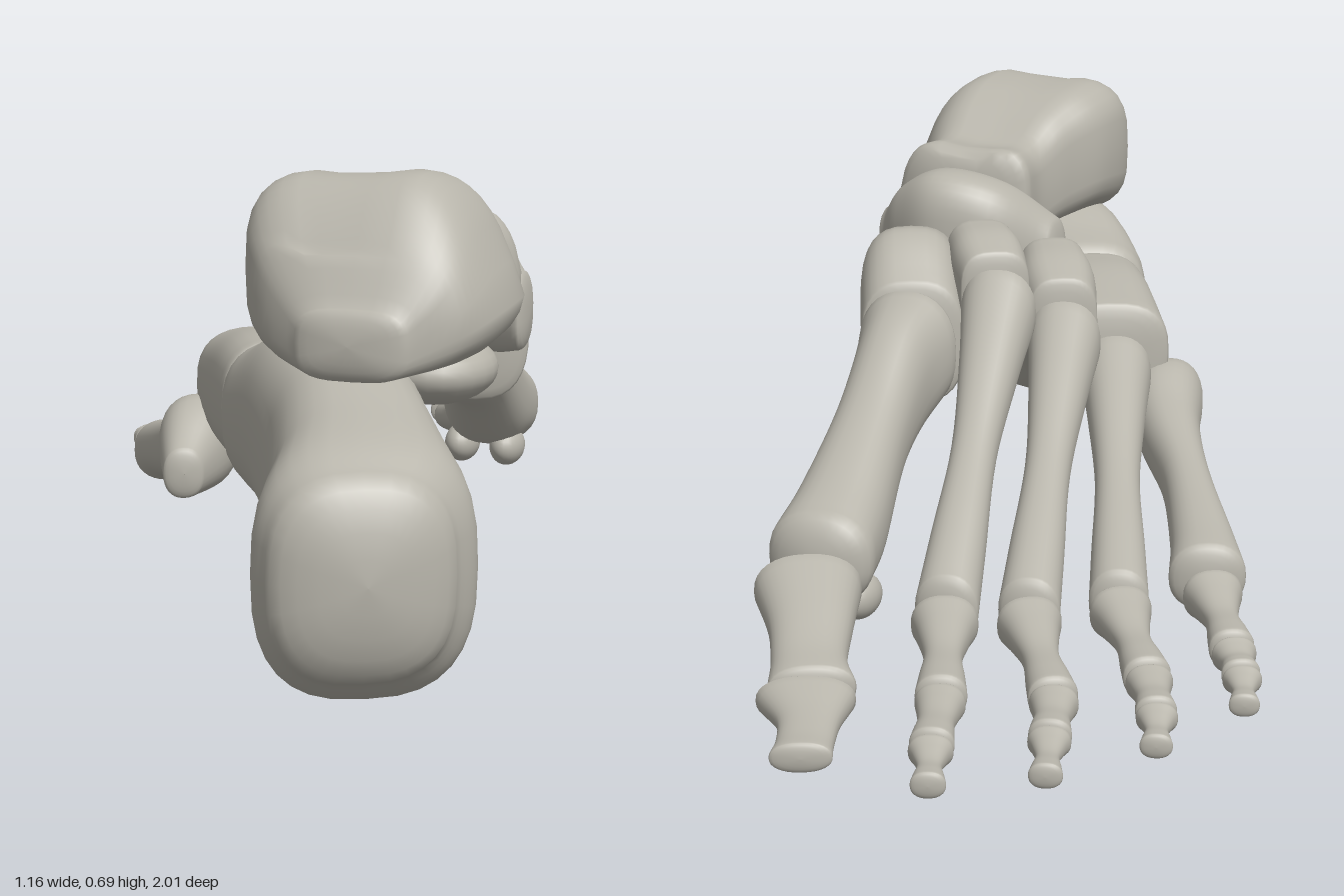
import * as THREE from 'three';

const UP = new THREE.Vector3(0, 1, 0);

// Smooth closed loft: rows of [x, y, z, halfWidth, halfHeight], upright sections, domed ends
function loft(rows, { power = 2.3, cap = 0.35, warp = null } = {}) {
  const SEG = 32, STEPS = (rows.length - 1) * 6, CAP = 6;
  const path = new THREE.CatmullRomCurve3(rows.map(r => new THREE.Vector3(r[0], r[1], r[2])), false, 'catmullrom', 0.5);
  const size = new THREE.CatmullRomCurve3(rows.map(r => new THREE.Vector3(r[3], r[4], 0)), false, 'catmullrom', 0.5);
  const dir = path.getPoint(1).sub(path.getPoint(0)).setY(0).normalize();
  const side = new THREE.Vector3().crossVectors(UP, dir);
  const rings = [];
  const addRing = (t, scale, push) => {
    const s = size.getPoint(t);
    const depth = push * cap * Math.min(s.x, s.y);
    rings.push({ c: path.getPoint(t).addScaledVector(dir, depth), w: s.x * scale, h: s.y * scale });
  };
  for (let i = 0; i < CAP; i++) {
    const a = (i / CAP) * Math.PI / 2;
    addRing(0, Math.max(Math.sin(a), 0.002), -Math.cos(a));
  }
  for (let i = 0; i <= STEPS; i++) addRing(i / STEPS, 1, 0);
  for (let i = CAP - 1; i >= 0; i--) {
    const a = (i / CAP) * Math.PI / 2;
    addRing(1, Math.max(Math.sin(a), 0.002), Math.cos(a));
  }
  const pos = [], index = [];
  const round = v => Math.sign(v) * Math.pow(Math.abs(v), 2 / power);
  rings.forEach(({ c, w, h }, i) => {
    for (let j = 0; j < SEG; j++) {
      const a = (j / SEG) * Math.PI * 2;
      const p = c.clone().addScaledVector(side, round(Math.cos(a)) * w).addScaledVector(UP, round(Math.sin(a)) * h);
      if (warp) warp(p);
      pos.push(p.x, p.y, p.z);
      if (i < rings.length - 1) {
        const k = (j + 1) % SEG, q = i * SEG, r = q + SEG;
        index.push(q + j, q + k, r + j, q + k, r + k, r + j);
      }
    }
  });
  const g = new THREE.BufferGeometry();
  g.setAttribute('position', new THREE.Float32BufferAttribute(pos, 3));
  g.setIndex(index);
  g.computeVertexNormals();
  return g;
}

export function createModel() {
  const model = new THREE.Group();
  model.name = 'footSkeleton';
  const bone = new THREE.MeshStandardMaterial({ color: 0xb8b5ab });
  bone.name = 'bone';

  const add = (name, geometry) => {
    const m = new THREE.Mesh(geometry, bone);
    m.name = name;
    model.add(m);
    return m;
  };
  const knob = (name, x, y, z, rx, ry, rz, turn = 0) => {
    const m = add(name, new THREE.SphereGeometry(1, 24, 16));
    m.position.set(x, y, z);
    m.scale.set(rx, ry, rz);
    m.rotation.y = turn;
  };

  // Heel bone
  add('heelBone', loft([
    [0.46, 0.21, 0.92, 0.125, 0.14], [0.44, 0.205, 0.86, 0.15, 0.175], [0.395, 0.22, 0.76, 0.13, 0.19],
    [0.335, 0.275, 0.66, 0.115, 0.17], [0.27, 0.32, 0.56, 0.125, 0.15], [0.2, 0.315, 0.48, 0.125, 0.12],
    [0.16, 0.31, 0.44, 0.11, 0.11]], { power: 2.7, cap: 0.4 }));
  knob('heelShelf', 0.41, 0.41, 0.52, 0.085, 0.05, 0.1);

  // Ankle bone: flat-topped body, neck and head, inner wall leaning inward at the top
  add('ankleBone', loft([
    [0.37, 0.475, 0.74, 0.08, 0.05], [0.365, 0.525, 0.69, 0.15, 0.095], [0.355, 0.56, 0.62, 0.185, 0.13],
    [0.35, 0.565, 0.52, 0.185, 0.125], [0.345, 0.545, 0.44, 0.15, 0.115], [0.335, 0.515, 0.37, 0.12, 0.1],
    [0.33, 0.515, 0.3, 0.125, 0.1]], {
    power: 3.4,
    warp: p => {
      if (p.x > 0.35) p.x -= Math.max(p.y - 0.52, 0) * (p.x - 0.35) * 2.4;
      p.y -= 0.015 * Math.exp(-(((p.x - 0.31) / 0.06) ** 2)) * (p.y > 0.6 ? 1 : 0);
    },
  }));

  // Midfoot bones
  add('navicular', loft([
    [0.13, 0.43, 0.25, 0.05, 0.075], [0.2, 0.47, 0.19, 0.065, 0.1], [0.3, 0.485, 0.165, 0.07, 0.105],
    [0.38, 0.465, 0.185, 0.06, 0.09], [0.43, 0.445, 0.215, 0.045, 0.06]], { power: 2.7 }));
  add('cuboid', loft([
    [0.13, 0.31, 0.4, 0.1, 0.1], [0.07, 0.305, 0.31, 0.1, 0.105], [-0.01, 0.295, 0.18, 0.105, 0.09]],
    { power: 2.8, cap: 0.2 }));
  add('innerCuneiform', loft([
    [0.305, 0.39, 0.065, 0.085, 0.12], [0.27, 0.385, 0, 0.085, 0.13], [0.225, 0.35, -0.075, 0.085, 0.105]],
    { power: 2.8, cap: 0.2 }));
  add('middleCuneiform', loft([
    [0.19, 0.45, 0.1, 0.06, 0.075], [0.15, 0.445, 0.05, 0.063, 0.075], [0.11, 0.43, 0, 0.058, 0.07]],
    { power: 3, cap: 0.2 }));
  add('outerCuneiform', loft([
    [0.1, 0.4, 0.19, 0.06, 0.085], [0.06, 0.39, 0.13, 0.065, 0.085], [0.02, 0.37, 0.07, 0.058, 0.08]],
    { power: 3, cap: 0.2 }));

  // Big toe
  add('metatarsal1', loft([
    [0.215, 0.345, -0.11, 0.083, 0.1], [0.2, 0.31, -0.19, 0.065, 0.1], [0.172, 0.25, -0.31, 0.062, 0.08],
    [0.14, 0.17, -0.45, 0.075, 0.085], [0.122, 0.14, -0.54, 0.083, 0.075]], { cap: 0.5 }));
  add('proximalPhalanx1', loft([
    [0.1, 0.115, -0.615, 0.08, 0.056], [0.05, 0.09, -0.69, 0.062, 0.044],
    [0.01, 0.065, -0.76, 0.055, 0.038], [-0.025, 0.053, -0.81, 0.063, 0.036]]));
  add('distalPhalanx1', loft([
    [-0.04, 0.053, -0.85, 0.07, 0.036], [-0.075, 0.045, -0.9, 0.045, 0.026],
    [-0.1, 0.038, -0.95, 0.04, 0.022], [-0.115, 0.035, -0.985, 0.043, 0.022]]));
  for (const x of [0.08, 0.165]) knob('sesamoid', x, 0.07, -0.5, 0.03, 0.035, 0.045);

  // Long bone from a to b: wide base, slim shaft, rounded head
  const longBone = (name, a, b, [base, mid, head], tall = 1) => {
    const len = Math.hypot(b[0] - a[0], b[2] - a[2]);
    const t0 = 0.3 * base / len, t1 = 1 - 0.35 * head / len;
    const rows = [[0, base], [0.2, (base + mid) / 2], [0.5, mid], [0.8, mid * 0.4 + head * 0.6], [1, head]].map(([u, r]) => {
      const t = t0 + (t1 - t0) * u;
      return [...a.map((v, i) => v + (b[i] - v) * t), r, r * tall];
    });
    add(name, loft(rows));
  };

  // Lesser toes: joints from metatarsal base to toe tip, thickness k
  const toes = [
    { n: 2, k: 1, base: [0.09, 0.42, -0.02], j: [[-0.09, 0.075, -0.54], [-0.205, 0.05, -0.76], [-0.262, 0.04, -0.89], [-0.31, 0.03, -0.985]] },
    { n: 3, k: 0.97, base: [0.005, 0.36, 0.05], j: [[-0.195, 0.07, -0.475], [-0.342, 0.045, -0.68], [-0.388, 0.037, -0.785], [-0.432, 0.028, -0.885]] },
    { n: 4, k: 0.95, base: [-0.045, 0.285, 0.14], j: [[-0.29, 0.065, -0.36], [-0.425, 0.042, -0.545], [-0.482, 0.035, -0.64], [-0.52, 0.025, -0.725]] },
    { n: 5, k: 0.92, base: null, j: [[-0.385, 0.065, -0.23], [-0.49, 0.042, -0.39], [-0.532, 0.033, -0.455], [-0.57, 0.023, -0.535]] },
  ];
  for (const { n, k, base, j } of toes) {
    if (base) longBone(`metatarsal${n}`, base, j[0], [0.062 * k, 0.036, 0.048 * k], 1.15);
    longBone(`proximalPhalanx${n}`, j[0], j[1], [0.05 * k, 0.028 * k, 0.037 * k], 0.9);
    longBone(`middlePhalanx${n}`, j[1], j[2], [0.036 * k, 0.026 * k, 0.031 * k], 0.85);
    longBone(`distalPhalanx${n}`, j[2], j[3], [0.031 * k, 0.017 * k, 0.024 * k], 0.8);
  }

  // Outer metatarsal with its backward-pointing spur
  add('metatarsal5', loft([
    [-0.065, 0.18, 0.355, 0.032, 0.04], [-0.09, 0.205, 0.25, 0.062, 0.075], [-0.14, 0.18, 0.15, 0.052, 0.06],
    [-0.225, 0.14, 0.03, 0.04, 0.052], [-0.32, 0.1, -0.12, 0.05, 0.05], [-0.365, 0.077, -0.2, 0.06, 0.055]]));

  return model;
}
